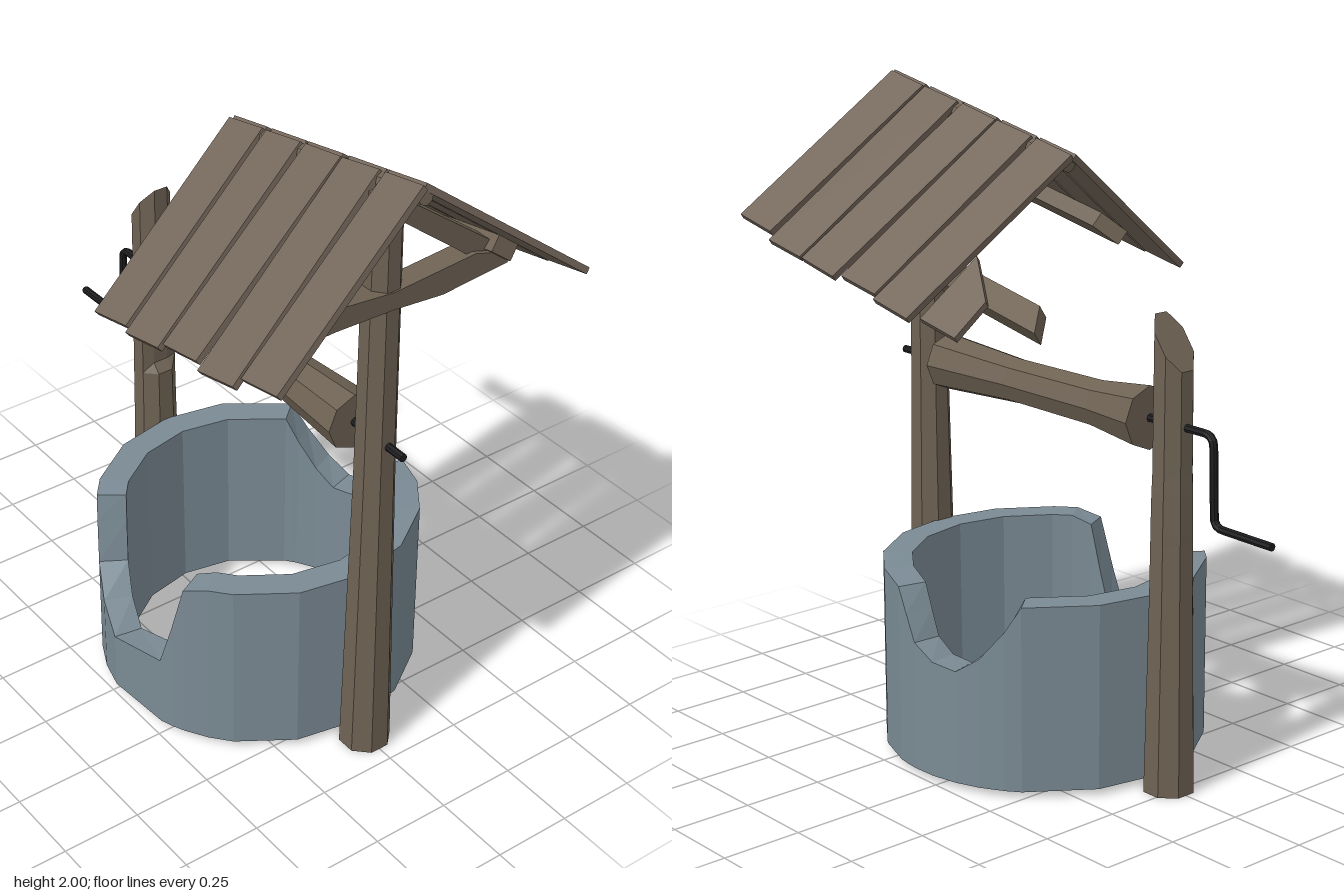
import * as THREE from 'three';

const mat = (name, color) => {
  const m = new THREE.MeshStandardMaterial({ color, flatShading: true });
  m.name = name;
  return m;
};

// Skin a list of cross-sections; closed joins last to first, otherwise both ends are capped.
function loft(sections, closed) {
  const pos = [];
  const tri = (...pts) => pts.forEach((p) => pos.push(...p));
  const n = sections.length, k = sections[0].length;
  for (let i = 0; i < (closed ? n : n - 1); i++) {
    const s = sections[i], t = sections[(i + 1) % n];
    for (let j = 0; j < k; j++) {
      const j2 = (j + 1) % k;
      tri(s[j], s[j2], t[j2]);
      tri(s[j], t[j2], t[j]);
    }
  }
  if (!closed) {
    const a = sections[0], b = sections[n - 1];
    for (let j = 1; j < k - 1; j++) {
      tri(a[0], a[j + 1], a[j]);
      tri(b[0], b[j], b[j + 1]);
    }
  }
  const g = new THREE.BufferGeometry();
  g.setAttribute('position', new THREE.Float32BufferAttribute(pos, 3));
  g.computeVertexNormals();
  return g;
}

// Flat polygon given thickness
function slab(points, depth) {
  const shape = new THREE.Shape(points.map(([x, y]) => new THREE.Vector2(x, y)));
  return new THREE.ExtrudeGeometry(shape, { depth, bevelEnabled: false });
}

// Octagonal ring with flat sides facing the axes
function ring(cx, y, r, adjust) {
  return Array.from({ length: 8 }, (_, j) => {
    const a = ((j + 0.5) * Math.PI) / 4;
    const p = [cx + r * Math.cos(a), y, -r * Math.sin(a)];
    if (adjust) adjust(p);
    return p;
  });
}

export function createModel() {
  const model = new THREE.Group();
  const stone = mat('stone', 0x7a8a94);
  const beam = mat('beam wood', 0x6e6253);
  const board = mat('roof wood', 0x74675b);
  const iron = mat('iron', 0x1c1c1e);
  const add = (name, geo, material, parent = model) => {
    const m = new THREE.Mesh(geo, material);
    m.name = name;
    parent.add(m);
    return m;
  };

  // Stone wall: [degrees from the front towards +x, rim height], broken at front and back
  const rim = [
    [-67.5, 0.59], [-45, 0.59], [-36, 0.585], [-34, 0.5], [-31, 0.36], [-20, 0.28], [-9, 0.21],
    [17, 0.26], [22, 0.4], [27, 0.565], [36, 0.59], [45, 0.59], [67.5, 0.59], [90, 0.59],
    [112.5, 0.59], [135, 0.59], [152, 0.585], [168, 0.57], [173, 0.5], [178, 0.42], [187, 0.38],
    [197, 0.37], [206, 0.42], [215, 0.51], [221, 0.59], [247.5, 0.59], [270, 0.59],
  ];
  const wall = rim.map(([deg, h]) => {
    const a = THREE.MathUtils.degToRad(deg);
    const at = (r, y) => [0.08 + r * Math.sin(a), y, r * Math.cos(a)];
    return [at(0.495, h), at(0.495, 0.02), at(0.4, 0.02), at(0.405, h)];
  });
  add('stoneWall', loft(wall, true), stone);

  // Whole post
  add('rightPost', loft([ring(0.625, 0, 0.08), ring(0.626, 1, 0.062), ring(0.627, 1.92, 0.055)]), beam)
    .name = 'leftPost';

  // Broken post, chipped on the inner side and snapped at a slant
  const chip = (limit) => (p) => { p[0] = Math.min(p[0], limit); };
  add('brokenPost', loft([
    ring(-0.475, 0, 0.08), ring(-0.475, 0.6, 0.068), ring(-0.475, 0.77, 0.066),
    ring(-0.475, 0.8, 0.066, chip(-0.44)), ring(-0.475, 0.92, 0.064, chip(-0.44)),
    ring(-0.475, 0.97, 0.062),
    ring(-0.475, 1.355, 0.06, (p) => { p[1] += 1.36 * (p[0] + 0.475); }),
  ]), beam);

  // Winding roller, thinner in the middle
  const profile = [[0, 0.53], [0.09, 0.53], [0.07, 0.19], [0.073, -0.18], [0.096, -0.38], [0, -0.38]]
    .map(([r, x]) => new THREE.Vector2(r, -x));
  const roller = add('roller', new THREE.LatheGeometry(profile, 8), beam);
  roller.rotation.z = Math.PI / 2;
  roller.position.y = 1.115;

  // Axle and crank handle
  const v = (x, y) => new THREE.Vector3(x, y, 0);
  const path = new THREE.CurvePath();
  path.add(new THREE.LineCurve3(v(0.75, 1.115), v(-0.6, 1.115)));
  path.add(new THREE.QuadraticBezierCurve3(v(-0.6, 1.115), v(-0.638, 1.115), v(-0.638, 1.08)));
  path.add(new THREE.LineCurve3(v(-0.638, 1.08), v(-0.645, 0.88)));
  path.add(new THREE.QuadraticBezierCurve3(v(-0.645, 0.88), v(-0.645, 0.848), v(-0.68, 0.848)));
  path.add(new THREE.LineCurve3(v(-0.68, 0.848), v(-0.87, 0.845)));
  add('crank', new THREE.TubeGeometry(path, 120, 0.0125, 8, false), iron);
  for (const [x, y, s] of [[0.75, 1.115, 1], [-0.87, 0.845, -1]]) {
    const cap = add('crankEnd', new THREE.CircleGeometry(0.0125, 8), iron);
    cap.position.set(x, y, 0);
    cap.rotation.y = (s * Math.PI) / 2;
  }

  // Sagging roof: local x runs along the ridge
  const roof = new THREE.Group();
  roof.name = 'roof';
  roof.position.set(-0.05, 1.835, 0);
  roof.rotation.z = 0.194;
  model.add(roof);
  const slope = THREE.MathUtils.degToRad(38);

  const ridge = add('ridgePole', new THREE.CylinderGeometry(0.026, 0.026, 0.84, 8), beam, roof);
  ridge.rotation.z = Math.PI / 2;
  ridge.position.set(0.43, -0.034, 0);

  // Per side: [plank length, skew] from the low end to the high end
  const planks = {
    1: [[0.67, 0.015], [0.685, 0.01], [0.67, -0.01], [0.69, 0.02], [0.66, -0.005]],
    '-1': [[0.69, -0.01], [0.675, 0.01], [0.69, -0.015], [0.69, 0.01], [0.665, -0.01]],
  };
  for (const s of [1, -1]) {
    const side = new THREE.Group();
    side.name = s > 0 ? 'frontRoofSide' : 'backRoofSide';
    side.rotation.x = s * slope;
    side.position.z = s * 0.008;
    roof.add(side);
    planks[s].forEach(([len, skew], i) => {
      const p = add('roofPlank', new THREE.BoxGeometry(0.157, 0.02, len), board, side);
      p.position.set(0.08 + i * 0.174, -0.01, (s * len) / 2);
      p.rotation.y = skew;
    });

    // Purlin under the planks; the back one sticks out, split at its end
    const start = s > 0 ? 0.15 : -0.38;
    const pts = [[start, -s * 0.535], [start + 0.06, -s * 0.455], [0.7, -s * 0.455], [0.7, -s * 0.535]];
    const purlin = add('purlin', slab(pts, 0.05), beam, side);
    purlin.rotation.x = -Math.PI / 2;
    purlin.position.y = -0.07;

    // Snapped remnant of a plank
    if (s < 0) {
      const stub = add('brokenPlank',
        slab([[-0.19, 0.67], [-0.035, 0.67], [-0.02, 0.42], [-0.177, 0.53]], 0.02), board, side);
      stub.rotation.x = -Math.PI / 2;
      stub.position.y = -0.02;
    }
  }

  // Truss on the standing post: shapes drawn in z and y, given thickness along x
  const truss = (name, pts, x, depth) => {
    const m = add(name, slab(pts, depth), beam);
    m.rotation.y = Math.PI / 2;
    m.position.x = x;
  };
  for (const s of [1, -1]) {
    truss('rafter', [[0, 1.915], [s * 0.42, 1.6], [s * 0.4, 1.56], [s * 0.35, 1.57], [0, 1.845]], 0.6, 0.07);
  }
  truss('crossBeam', [
    [-0.42, 1.6], [-0.2, 1.642], [0, 1.622], [0.28, 1.642], [0.42, 1.6],
    [0.4, 1.572], [0.17, 1.552], [0, 1.567], [-0.2, 1.572], [-0.36, 1.565],
  ], 0.61, 0.075);

  return model;
}
